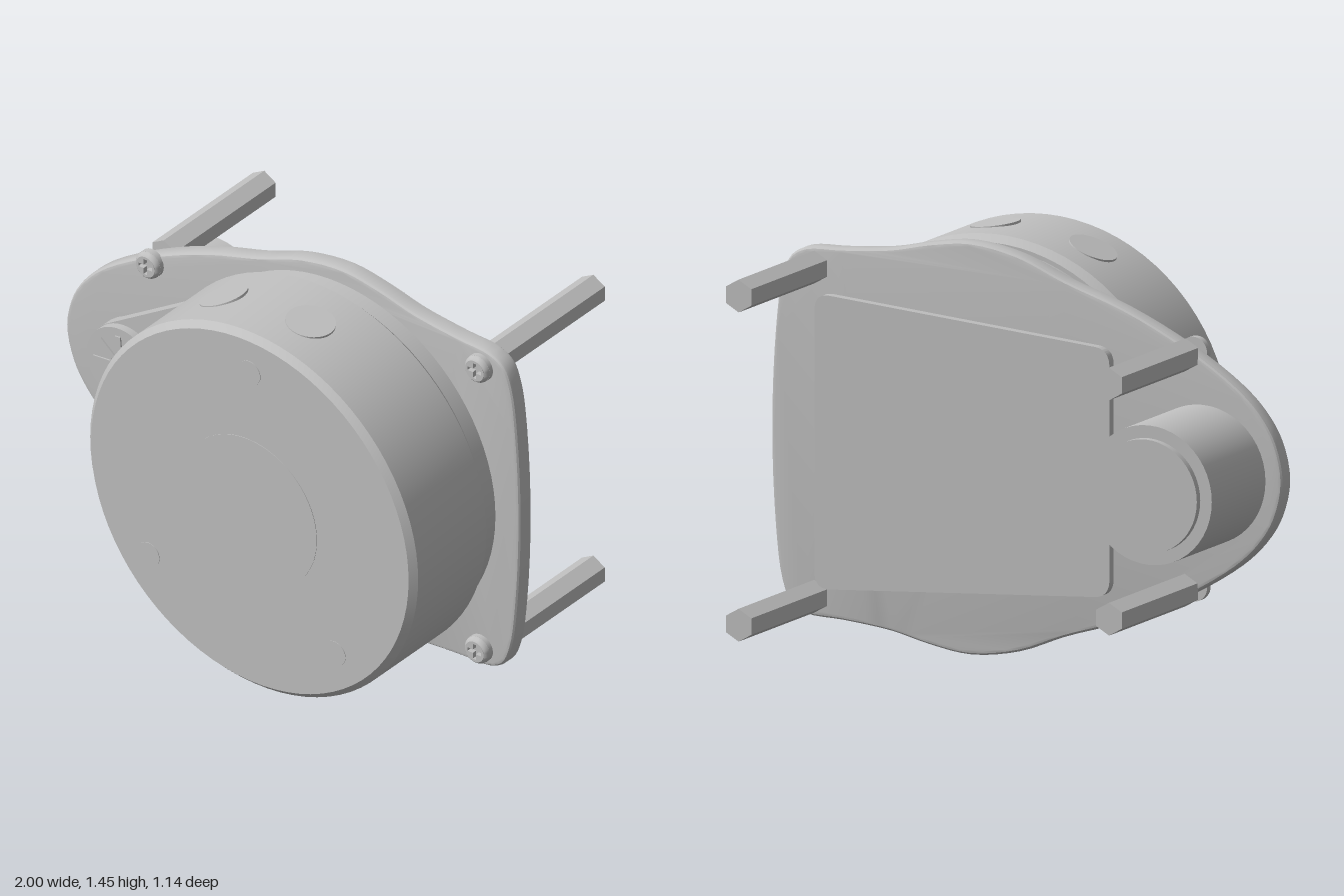
import * as THREE from 'three';
import { toCreasedNormals } from 'three/addons/utils/BufferGeometryUtils.js';

const CY = 0.73; // height of the symmetry axis

export function createModel() {
  const model = new THREE.Group();
  const grey = new THREE.MeshStandardMaterial({ color: 0xc0c0c0 });
  grey.name = 'plain grey';

  const add = (name, geometry, parent = model) => {
    const mesh = new THREE.Mesh(geometry, grey);
    mesh.name = name;
    parent.add(mesh);
    return mesh;
  };

  // Solid of revolution about z; profile is [radius, z] from back to front
  const turned = (name, x, y, profile, segments = 64) => {
    const geo = new THREE.LatheGeometry(profile.map(([r, z]) => new THREE.Vector2(r, z)), segments);
    geo.rotateX(Math.PI / 2);
    const mesh = add(name, toCreasedNormals(geo, 0.5));
    mesh.position.set(x, y, 0);
    return mesh;
  };
  const disc = (name, x, y, z0, z1, r, segments = 48) => {
    const geo = new THREE.CylinderGeometry(r, r, z1 - z0, segments);
    geo.rotateX(Math.PI / 2);
    const mesh = add(name, geo);
    mesh.position.set(x, y, (z0 + z1) / 2);
    return mesh;
  };

  // Slab between z0 and z1 with a softened rim that stays inside the outline
  const slab = (name, shape, z0, z1, bevel = 0) => {
    const geo = new THREE.ExtrudeGeometry(shape, {
      depth: z1 - z0 - 2 * bevel, bevelEnabled: bevel > 0, bevelThickness: bevel,
      bevelSize: bevel, bevelOffset: -bevel, bevelSegments: 3, curveSegments: 32,
    });
    const mesh = add(name, toCreasedNormals(geo, 0.5));
    mesh.position.z = z0 + bevel;
    return mesh;
  };

  // Base plate: upper outline mirrored about the axis
  const upper = [
    [0.98, 1.08], [0.955, 1.26], [0.92, 1.34], [0.86, 1.374], [0.72, 1.383], [0.53, 1.402],
    [0.38, 1.435], [0.22, 1.455], [0.03, 1.425], [-0.15, 1.355], [-0.38, 1.28],
    [-0.62, 1.17], [-0.82, 1.045], [-0.91, 0.96], [-0.97, 0.865],
  ];
  const outline = [
    [0.995, CY], ...upper, [-1, CY],
    ...upper.map(([x, y]) => [x, 2 * CY - y]).reverse(),
  ].map(([x, y]) => new THREE.Vector3(x, y, 0));
  const curve = new THREE.CatmullRomCurve3(outline, true, 'centripetal');
  const plateShape = new THREE.Shape(curve.getPoints(128).slice(0, -1).map((p) => new THREE.Vector2(p.x, p.y)));
  slab('basePlate', plateShape, -0.02, 0.05, 0.015);

  // Drum with bevelled rims, standing on a slightly smaller turntable
  const DX = 0.22;
  turned('drum', DX, CY, [[0, 0.14], [0.695, 0.14], [0.72, 0.165], [0.72, 0.542], [0.697, 0.566], [0, 0.566]], 80);
  disc('turntable', DX, CY, 0.065, 0.145, 0.68, 80);
  disc('spindle', DX, CY, 0.04, 0.07, 0.12);

  // Flush pads on the drum face
  disc('centrePad', DX, CY, 0.563, 0.568, 0.295, 64);
  for (const deg of [90, -141, -49]) {
    const a = THREE.MathUtils.degToRad(deg);
    disc('facePad', DX + 0.57 * Math.cos(a), CY + 0.57 * Math.sin(a), 0.563, 0.568, 0.047, 32);
  }

  // Round plugs set into the top of the drum wall
  for (const sine of [-0.39, 0.14]) {
    const a = Math.asin(sine);
    const plug = add('sidePlug', new THREE.CylinderGeometry(0.088, 0.088, 0.03, 40));
    plug.position.set(DX + 0.708 * Math.sin(a), CY + 0.708 * Math.cos(a), 0.357);
    plug.rotation.z = -a;
  }

  // Belt: the outline wrapped round the pulley and the turntable
  const PX = -0.69;
  const tilt = Math.asin((0.64 - 0.152) / (DX - PX));
  const belt = new THREE.Shape();
  belt.absarc(DX, CY, 0.64, -Math.PI / 2 - tilt, Math.PI / 2 + tilt, false);
  belt.absarc(PX, CY, 0.152, Math.PI / 2 + tilt, Math.PI * 1.5 - tilt, false);
  slab('belt', belt, 0.062, 0.104);

  // Pulley with raised spokes around a small hub
  disc('pulley', PX, CY, 0.04, 0.133, 0.15);
  disc('pulleyHub', PX, CY, 0.13, 0.139, 0.034, 24);
  for (let i = 0; i < 8; i++) {
    const a = (i * Math.PI) / 4 + 0.1;
    const spoke = add('pulleySpoke', new THREE.BoxGeometry(0.078, 0.024, 0.009));
    spoke.position.set(PX + 0.08 * Math.cos(a), CY + 0.08 * Math.sin(a), 0.1345);
    spoke.rotation.z = a;
  }

  // Motor behind the plate
  disc('motor', PX, CY, -0.41, -0.015, 0.245);
  disc('motorCap', PX, CY, -0.435, -0.405, 0.2);

  // Circuit board: tapered, with rounded corners
  const corners = [[0.75, 0.21], [0.75, 1.25], [-0.4, 1.165], [-0.4, 0.295]]
    .map(([x, y]) => new THREE.Vector2(x, y));
  const board = new THREE.Shape();
  corners.forEach((c, i) => {
    const toward = (p) => p.clone().sub(c).setLength(0.06).add(c);
    const from = toward(corners[(i + 3) % 4]);
    const to = toward(corners[(i + 1) % 4]);
    if (i) board.lineTo(from.x, from.y);
    else board.moveTo(from.x, from.y);
    board.quadraticCurveTo(c.x, c.y, to.x, to.y);
  });
  board.closePath();
  // counter-clockwise order is restored by the extruder
  slab('circuitBoard', board, -0.158, -0.126);

  // Four hexagonal standoffs, each held by a cross-slotted screw
  const slot = [];
  for (let i = 0; i < 4; i++) {
    const a = (i * Math.PI) / 2;
    for (const [x, y] of [[0.03, -0.007], [0.03, 0.007], [0.007, 0.007]]) {
      slot.push(new THREE.Vector2(x, y).rotateAround(new THREE.Vector2(), a));
    }
  }
  for (const x of [-0.62, 0.825]) {
    for (const side of [-1, 1]) {
      const y = CY + side * (x < 0 ? 0.413 : 0.578);
      const post = disc('standoff', x, y, -0.57, -0.015, 0.0577, 6);
      post.geometry = toCreasedNormals(post.geometry, 0.3);
      const head = new THREE.Shape().absarc(0, 0, 0.052, 0, Math.PI * 2, false);
      head.holes.push(new THREE.Path(slot));
      const flat = new THREE.Shape().absarc(0, 0, 0.04, 0, Math.PI * 2, false);
      flat.holes.push(new THREE.Path(slot));
      disc('screwBase', x, y, 0.045, 0.068, 0.052, 32);
      // stepped and sloped rim gives the head its dome
      turned('screwRim', x, y, [[0.052, 0.066], [0.05, 0.076], [0.045, 0.083], [0.038, 0.087]], 32);
      slab('screwHead', flat, 0.066, 0.087).position.set(x, y, 0.066);
    }
  }

  return model;
}
